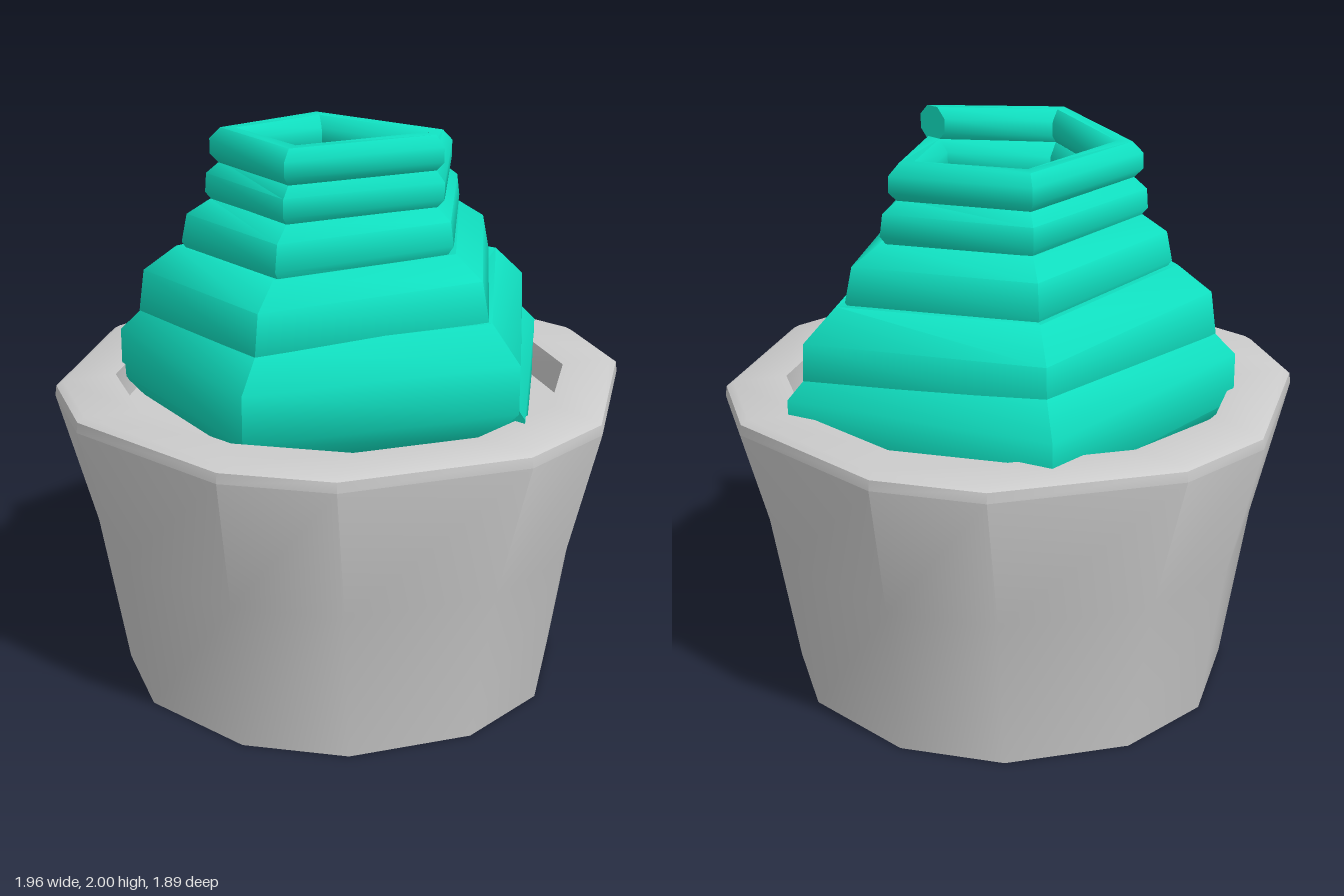
import * as THREE from 'three';
import { toCreasedNormals } from 'three/addons/utils/BufferGeometryUtils.js';

// Skin a list of equal-sized point rings and close both ends with a fan
function loft(rings, crease) {
  const n = rings[0].length;
  const points = rings.flat();
  const index = [];
  for (let i = 0; i < rings.length - 1; i++) {
    for (let j = 0; j < n; j++) {
      const k = (j + 1) % n;
      const a = i * n + j, b = a + n, c = i * n + k, d = c + n;
      index.push(a, b, c, b, d, c);
    }
  }
  const last = (rings.length - 1) * n;
  for (let j = 1; j < n - 1; j++) {
    index.push(0, j, j + 1);
    index.push(last, last + j + 1, last + j);
  }
  const geometry = new THREE.BufferGeometry().setFromPoints(points);
  geometry.setIndex(index);
  return toCreasedNormals(geometry, crease);
}

// Twelve-sided ring: a hexagon with cut corners, each cut spanning +-half degrees
function cupRing([radius, y, half]) {
  const ring = [];
  for (let k = 0; k < 6; k++) {
    for (const side of [-1, 1]) {
      const a = THREE.MathUtils.degToRad(k * 60 + side * half);
      ring.push(new THREE.Vector3(radius * Math.cos(a), y, radius * Math.sin(a)));
    }
  }
  return ring;
}

// Swirl keys: turn, distance from axis, height, tube radius, section tilt in degrees
const SWIRL = [
  [0, 0.63, 1.04, 0.19, 0],
  [0.2, 0.64, 1.07, 0.21, 0],
  [0.4, 0.65, 1.1, 0.215, 0],
  [0.6, 0.58, 1.14, 0.22, 0],
  [0.8, 0.577, 1.175, 0.22, 0],
  [1, 0.577, 1.21, 0.22, 0],
  [1.2, 0.575, 1.25, 0.215, 2],
  [2, 0.475, 1.445, 0.175, 13],
  [3, 0.392, 1.665, 0.105, 10],
  [4, 0.382, 1.82, 0.076, 0],
  [5, 0.388, 1.94, 0.066, 0],
];

function swirlKey(turn) {
  let i = 0;
  while (i < SWIRL.length - 2 && turn > SWIRL[i + 1][0]) i++;
  const a = SWIRL[i], b = SWIRL[i + 1];
  const t = (turn - a[0]) / (b[0] - a[0]);
  return a.map((v, k) => THREE.MathUtils.lerp(v, b[k], t));
}

// Octagonal tube section standing at one corner of the five-sided coil
function swirlRing(step) {
  const [turn, distance, y, radius, tilt] = swirlKey(step / 5);
  const angle = turn * Math.PI * 2;
  const ring = [];
  for (let j = 0; j < 8; j++) {
    const phi = THREE.MathUtils.degToRad(22.5 + j * 45 + tilt);
    const r = distance + radius * Math.cos(phi);
    ring.push(new THREE.Vector3(r * Math.cos(angle), y + radius * Math.sin(phi), -r * Math.sin(angle)));
  }
  return ring;
}

export function createModel() {
  const model = new THREE.Group();

  // Flared cup: outer wall, bevelled rim, opening and recessed floor
  const cupProfile = [
    [0.777, 0, 13.7],
    [0.87, 0.56, 12.5],
    [1.0, 1.05, 11],
    [0.995, 1.085, 11],
    [0.97, 1.1, 11],
    [0.79, 1.1, 14.5],
    [0.78, 0.98, 14.5],
  ];
  const cup = new THREE.Mesh(
    loft(cupProfile.map(cupRing), 0.6),
    new THREE.MeshStandardMaterial({ color: 0xcccccc })
  );
  cup.name = 'cup';
  model.add(cup);

  // Frosting: five tapering turns of a five-sided coil
  const rings = Array.from({ length: 26 }, (_, step) => swirlRing(step));
  const frosting = new THREE.Mesh(
    loft(rings, 0.9),
    new THREE.MeshStandardMaterial({ color: 0x10dfc0 })
  );
  frosting.name = 'frostingSwirl';
  model.add(frosting);

  return model;
}
